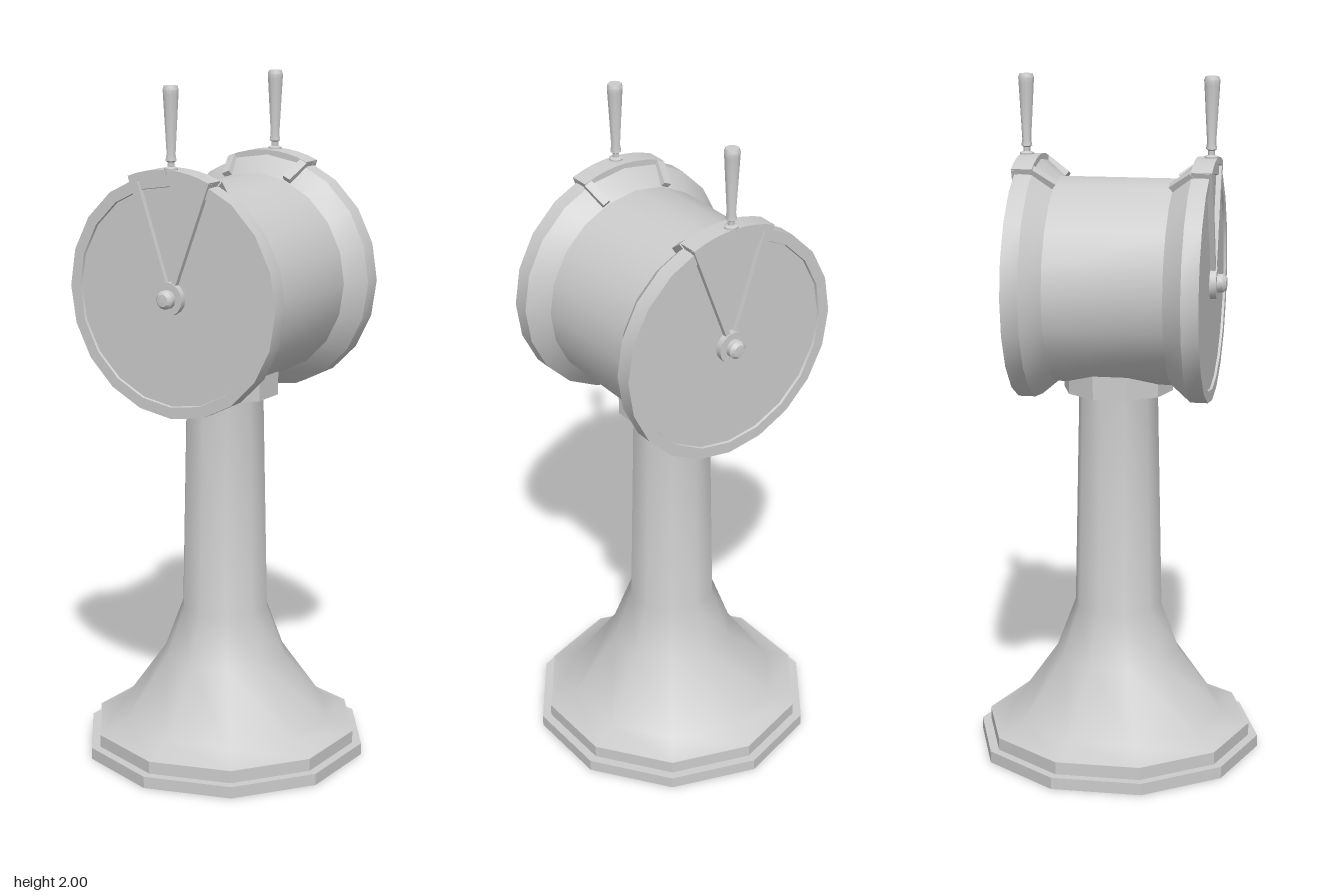
import * as THREE from 'three';
import { toCreasedNormals } from 'three/addons/utils/BufferGeometryUtils.js';

const material = new THREE.MeshStandardMaterial({ color: 0xcccccc });
const AXIS_Y = 1.415; // height of the drum axis

function add(parent, name, geometry, crease = 0.6) {
  const mesh = new THREE.Mesh(toCreasedNormals(geometry, crease), material);
  mesh.name = name;
  parent.add(mesh);
  return mesh;
}

// Turned part: profile of [radius, height] from bottom to top
function turned(profile, sides) {
  return new THREE.LatheGeometry(profile.map(([r, y]) => new THREE.Vector2(r, y)), sides);
}

// Flat plate cut from a shape, standing between two depths
function plate(shape, z0, z1, curveSegments = 4) {
  const g = new THREE.ExtrudeGeometry(shape, { depth: z1 - z0, bevelEnabled: false, curveSegments });
  return g.translate(0, 0, z0);
}

// Bar of given width and thickness from a to b, its thickness along "up"
function bar(a, b, width, thickness, up) {
  const dir = b.clone().sub(a);
  const g = new THREE.BoxGeometry(width, thickness, dir.length());
  const z = dir.clone().normalize();
  const x = new THREE.Vector3().crossVectors(up, z).normalize();
  const y = new THREE.Vector3().crossVectors(z, x);
  const m = new THREE.Matrix4().makeBasis(x, y, z).setPosition(a.clone().add(b).multiplyScalar(0.5));
  return g.applyMatrix4(m);
}

// Pointer, hub and handle for one face; origin on the drum axis
function createControl(name) {
  const control = new THREE.Group();
  control.name = name;

  // Hub disc with its round-ended knob
  add(control, 'hub', turned([[0, 0.262], [0.047, 0.262], [0.047, 0.287], [0, 0.287]], 16).rotateX(Math.PI / 2));
  add(control, 'hubKnob', turned([[0, 0.28], [0.027, 0.28], [0.027, 0.303], [0.018, 0.313], [0, 0.315]], 12).rotateX(Math.PI / 2));

  // Bridge lying over the rim
  const half = 0.385, mid = Math.PI / 2;
  const arc = new THREE.Shape();
  arc.absarc(0, 0, 0.358, mid - half, mid + half, false);
  arc.absarc(0, 0, 0.338, mid + half, mid - half, true);
  arc.closePath();
  add(control, 'rimBridge', plate(arc, 0.224, 0.283), 0.3);

  for (const s of [1, -1]) {
    // Slanted arm on the face
    const arm = new THREE.Shape([
      [0.006, 0.035], [0.022, 0.035], [0.134, 0.328], [0.109, 0.338],
    ].map(([x, y]) => new THREE.Vector2(s * x, y)));
    add(control, s > 0 ? 'leftArm' : 'rightArm', plate(arm, 0.264, 0.283), 0.3);

    // Strap running down the conical back of the rim
    const top = new THREE.Vector3(s * 0.122, 0.326, 0.228);
    const end = new THREE.Vector3(s * 0.102, 0.284, 0.167);
    const up = new THREE.Vector3(s * 0.23, 0.6, -0.6);
    add(control, s > 0 ? 'leftStrap' : 'rightStrap', bar(top, end, 0.025, 0.022, up), 0.3);
  }

  // Handle: collar, thin neck and flared grip
  const handle = turned([
    [0, 0.345], [0.02, 0.345], [0.02, 0.362], [0.01, 0.366], [0.01, 0.378],
    [0.016, 0.382], [0.013, 0.4], [0.022, 0.56], [0.023, 0.575], [0.019, 0.585], [0, 0.585],
  ], 10);
  add(control, 'handle', handle.translate(0, 0, 0.265), 0.7);
  return control;
}

export function createModel() {
  const model = new THREE.Group();
  model.name = 'pedestalTelegraph';

  // Stepped ten-sided foot
  add(model, 'foot', turned([
    [0, 0], [0.423, 0], [0.423, 0.035], [0.396, 0.035], [0.396, 0.072], [0, 0.072],
  ], 10));

  // Flared column
  add(model, 'column', turned([
    [0.394, 0.072], [0.316, 0.105], [0.186, 0.29], [0.13, 0.44], [0.116, 1.1],
  ], 10), 0.72);

  // Collar carrying the drum
  add(model, 'collar', turned([[0, 1.095], [0.16, 1.095], [0.16, 1.18], [0, 1.18]], 10));

  const head = new THREE.Group();
  head.name = 'head';
  head.position.y = AXIS_Y;
  model.add(head);

  // Drum with flared rims and slightly sunken faces
  const side = [[0, 0.268], [0.31, 0.268], [0.312, 0.275], [0.345, 0.275], [0.345, 0.225], [0.297, 0.169]];
  const profile = [
    ...side.map(([r, z]) => [r, -z]),
    ...side.slice().reverse(),
  ];
  add(head, 'drum', turned(profile, 20).rotateX(Math.PI / 2));

  // Same controls on both faces
  const front = createControl('frontControl');
  const back = createControl('backControl');
  back.rotation.y = Math.PI;
  head.add(front, back);
  return model;
}
